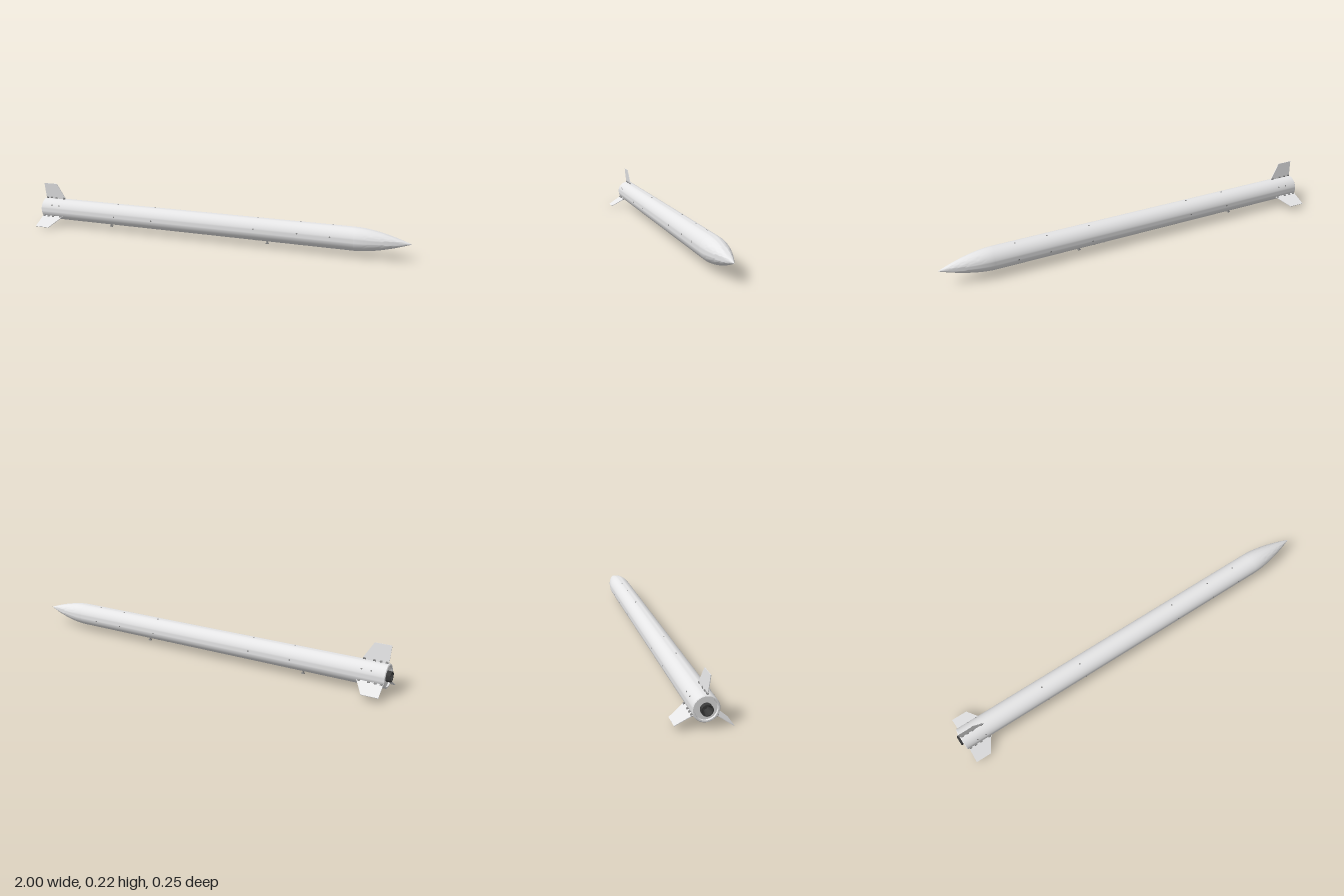
import * as THREE from 'three';
import { toCreasedNormals } from 'three/addons/utils/BufferGeometryUtils.js';

const R = 0.057;
const mat = (name, color) => Object.assign(new THREE.MeshStandardMaterial({ color }), { name });

export function createModel() {
  const paint = mat('paleGrey', 0xe9e9ea);
  const metal = mat('midGrey', 0x8c8c8c);
  const dark = mat('darkGrey', 0x3a3a3a);

  const root = new THREE.Group();
  root.name = 'rocket';
  root.position.set(0, 0.084, 0.0065);

  const add = (parent, name, geo, material, x = 0, y = 0, z = 0) => {
    const m = new THREE.Mesh(geo, material);
    m.name = name;
    m.position.set(x, y, z);
    parent.add(m);
    return m;
  };
  // Surface of revolution about the x axis, from [radius, x] pairs
  const turned = (name, pts, material) => {
    const geo = new THREE.LatheGeometry(pts.map(p => new THREE.Vector2(...p)), 48);
    geo.rotateZ(-Math.PI / 2);
    return add(root, name, toCreasedNormals(geo, 0.6), material);
  };
  // Group whose local +y points outward from the body axis
  const station = (name, degrees) => {
    const g = new THREE.Group();
    g.name = name;
    g.rotation.x = THREE.MathUtils.degToRad(degrees);
    root.add(g);
    return g;
  };

  // Body tube and pointed ogive nose
  turned('bodyTube', [[0.054, -0.986], [R, -0.983], [R, 0.74]], paint);
  const nose = [];
  for (let i = 0; i <= 20; i++) {
    const t = i / 20;
    nose.push([R * (1 - t ** 1.7), 0.74 + 0.26 * t]);
  }
  turned('noseCone', nose, paint);

  // Tail plate and exhaust nozzle
  turned('tailPlate', [[0.024, -0.979], [0.046, -0.979], [0.048, -0.986], [0.054, -0.986]], paint);
  turned('nozzle', [[0, -0.965], [0.01, -0.965], [0.021, -1], [0.025, -1], [0.025, -0.978]], dark);

  // Three swept fins with hinge knuckles along the root
  const outline = new THREE.Shape([[-0.98, 0.055], [-0.855, 0.055], [-0.906, 0.1415], [-0.986, 0.1415]]
    .map(p => new THREE.Vector2(...p)));
  const finGeo = new THREE.ExtrudeGeometry(outline, { depth: 0.003, bevelEnabled: false });
  finGeo.translate(0, 0, -0.0015);
  const knuckle = new THREE.CylinderGeometry(0.005, 0.005, 0.012, 12).rotateZ(Math.PI / 2);
  for (let i = 0; i < 3; i++) {
    const g = station('finAssembly', 5.7 + 120 * i);
    add(g, 'fin', finGeo, paint);
    for (const x of [-0.972, -0.945, -0.915, -0.868]) add(g, 'hingeKnuckle', knuckle, metal, x, 0.061);
  }

  // Small fasteners around the tube
  const screw = new THREE.CylinderGeometry(0.0038, 0.0038, 0.002, 12);
  const rows = [
    { xs: [-0.53, -0.31], start: 3, count: 4 },
    { xs: [0.25, 0.47, 0.63], start: -10, count: 4 },
    { xs: [-0.92, -0.875], start: 62, count: 3 },
    { xs: [0.18, 0.232], start: 212, count: 1 },
  ];
  for (const { xs, start, count } of rows) {
    for (let k = 0; k < count; k++) {
      const g = station('fastenerRow', start + 360 * k / count);
      for (const x of xs) add(g, 'fastener', screw, metal, x, R);
    }
  }

  // Two suspension lugs underneath
  const lugs = station('suspensionLugs', 184);
  for (const x of [-0.58, 0.305]) {
    add(lugs, 'lugBase', new THREE.CylinderGeometry(0.006, 0.007, 0.005, 16), metal, x, R + 0.001);
    add(lugs, 'lugStem', new THREE.BoxGeometry(0.007, 0.01, 0.006), metal, x, 0.064);
    add(lugs, 'lugFoot', new THREE.BoxGeometry(0.014, 0.004, 0.013), metal, x, 0.07);
  }
  return root;
}
